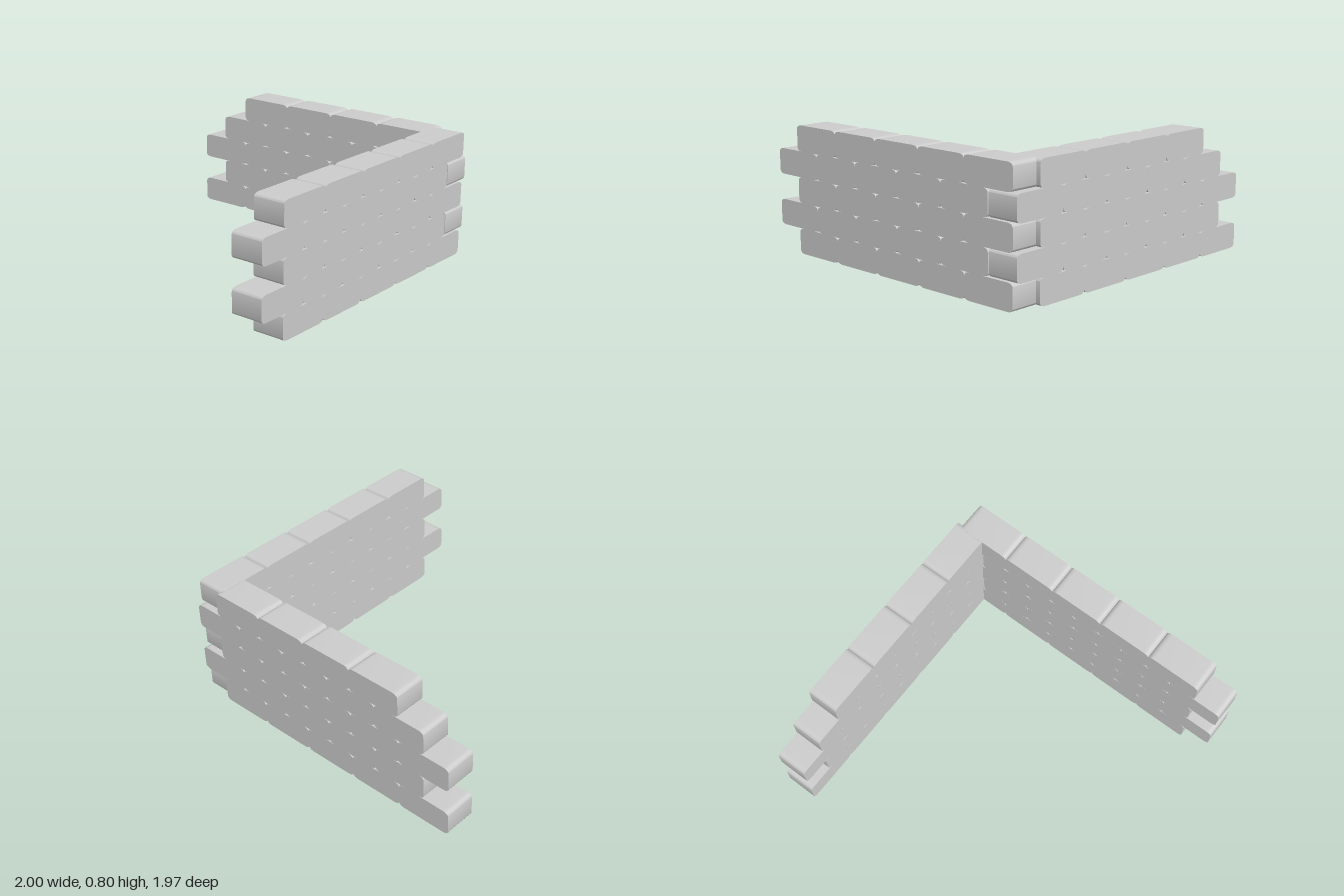
import * as THREE from 'three';
import { toCreasedNormals } from 'three/addons/utils/BufferGeometryUtils.js';

const L = 0.358, H = 0.159, D = 0.203; // brick length, height, depth
const ROWS = 5, PER_ROW = 5;

// Brick: rounded face profile, straight through its depth, centred on the origin
function brickGeometry() {
  const w = L / 2, h = H / 2, rx = 0.042, ry = 0.027;
  const s = new THREE.Shape();
  s.moveTo(-w + rx, -h);
  s.lineTo(w - rx, -h);
  s.quadraticCurveTo(w, -h, w, -h + ry);
  s.lineTo(w, h - ry);
  s.quadraticCurveTo(w, h, w - rx, h);
  s.lineTo(-w + rx, h);
  s.quadraticCurveTo(-w, h, -w, h - ry);
  s.lineTo(-w, -h + ry);
  s.quadraticCurveTo(-w, -h, -w + rx, -h);
  const geo = new THREE.ExtrudeGeometry(s, { depth: D, bevelEnabled: false, curveSegments: 8 });
  geo.translate(0, 0, -D / 2);
  return toCreasedNormals(geo, 0.7);
}

export function createModel() {
  const model = new THREE.Group();
  model.name = 'cornerBrickWall';
  const material = new THREE.MeshStandardMaterial({ color: 0xcccccc });
  const geometry = brickGeometry();

  const frontWall = new THREE.Group();
  frontWall.name = 'frontWall';
  const sideWall = new THREE.Group();
  sideWall.name = 'sideWall';
  model.add(frontWall, sideWall);

  const addBrick = (wall, name, x, y, z, turn) => {
    const brick = new THREE.Mesh(geometry, material);
    brick.name = name;
    brick.position.set(x, y, z);
    brick.rotation.y = turn;
    wall.add(brick);
  };

  for (let row = 0; row < ROWS; row++) {
    const odd = row % 2 === 1;
    const y = (row + 0.5) * H;
    // Alternate courses are shifted half a brick and interlock at the corner
    const startX = odd ? -1 : -0.82;
    const startZ = odd ? 0.983 : 0.807;
    // The top course of the side wall is one brick short
    const sideCount = row === ROWS - 1 ? PER_ROW - 1 : PER_ROW;

    for (let i = 0; i < PER_ROW; i++)
      addBrick(frontWall, 'frontBrick', startX + (i + 0.5) * L, y, 0.983 - D / 2, 0);
    for (let i = 0; i < sideCount; i++)
      addBrick(sideWall, 'sideBrick', 1 - D / 2, y, startZ - (i + 0.5) * L, Math.PI / 2);
  }
  return model;
}
